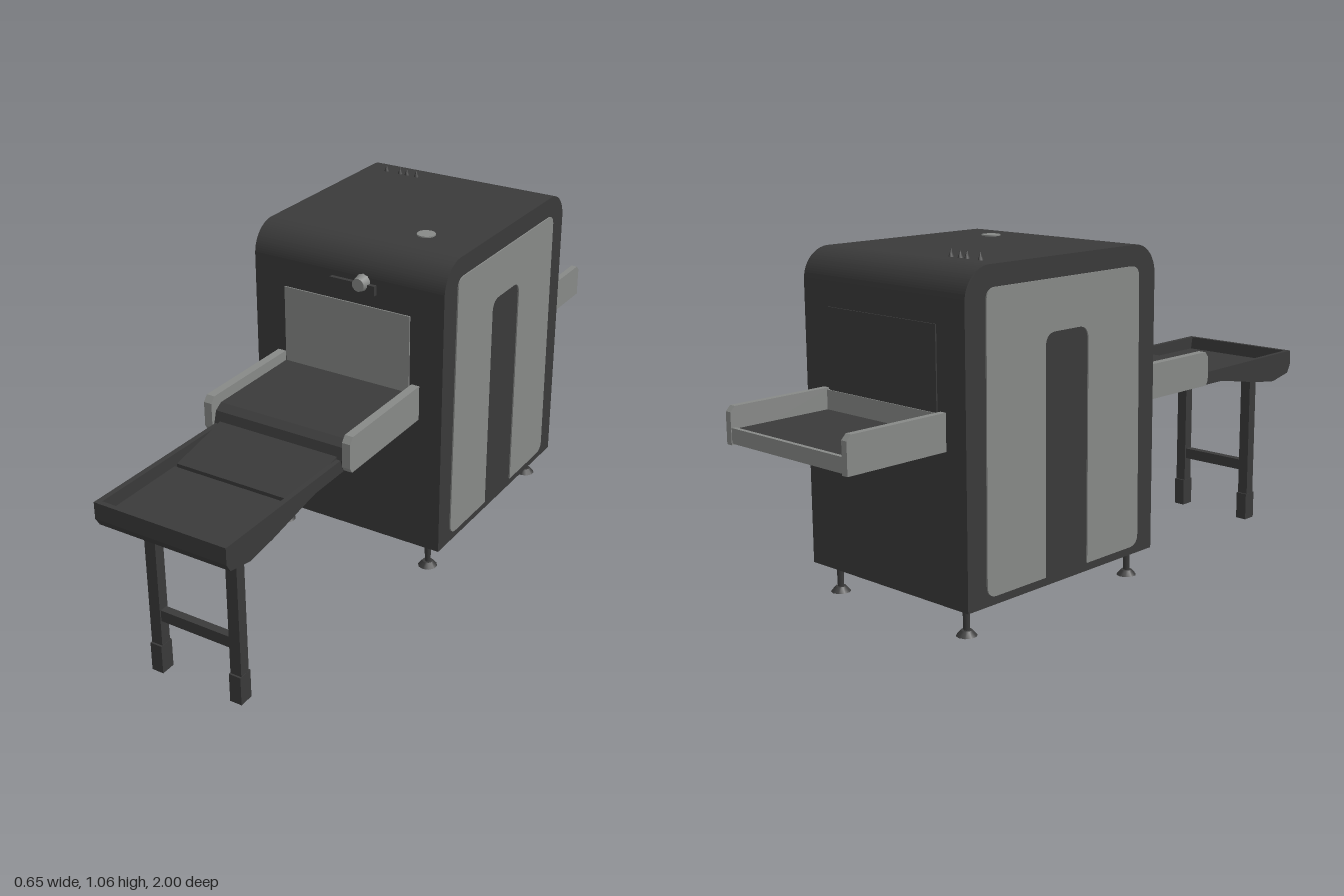
import * as THREE from 'three';

export function createModel() {
  const model = new THREE.Group();
  const mat = (name, color) => {
    const m = new THREE.MeshStandardMaterial({ color });
    m.name = name;
    return m;
  };
  const dark = mat('charcoal', 0x3a3a3a);
  const grey = mat('panelGrey', 0x878987);

  const add = (name, geo, m, x = 0, y = 0, z = 0) => {
    const mesh = new THREE.Mesh(geo, m);
    mesh.name = name;
    mesh.position.set(x, y, z);
    model.add(mesh);
    return mesh;
  };
  // Box given by its limits on each axis
  const box = (name, m, x0, x1, y0, y1, z0, z1) =>
    add(name, new THREE.BoxGeometry(x1 - x0, y1 - y0, z1 - z0), m,
      (x0 + x1) / 2, (y0 + y1) / 2, (z0 + z1) / 2);
  // Side profile in (z, y), extruded across x and centred at x
  const side = (name, m, shape, width, x = 0) => {
    const g = new THREE.ExtrudeGeometry(shape, { depth: width, bevelEnabled: false, curveSegments: 10 });
    g.rotateY(-Math.PI / 2).translate(width / 2, 0, 0);
    return add(name, g, m, x);
  };
  const poly = pts => new THREE.Shape(pts.map(p => new THREE.Vector2(p[0], p[1])));

  // Cabinet with rounded top edges
  const body = new THREE.Shape();
  body.moveTo(-0.665, 0.115);
  body.lineTo(0.105, 0.115);
  body.lineTo(0.105, 0.945);
  body.absarc(0.015, 0.945, 0.09, 0, Math.PI / 2, false);
  body.lineTo(-0.575, 1.035);
  body.absarc(-0.575, 0.945, 0.09, Math.PI / 2, Math.PI, false);
  body.closePath();
  side('cabinet', dark, body, 0.64);

  // Arched side panels with a central slot open at the bottom
  const arch = new THREE.Shape();
  const o = 0.035;
  arch.moveTo(-0.595 + o, 0.14);
  arch.lineTo(-0.365, 0.14);
  arch.lineTo(-0.365, 0.79);
  arch.quadraticCurveTo(-0.365, 0.83, -0.325, 0.83);
  arch.lineTo(-0.23, 0.83);
  arch.quadraticCurveTo(-0.19, 0.83, -0.19, 0.79);
  arch.lineTo(-0.19, 0.14);
  arch.lineTo(0.035 - o, 0.14);
  arch.quadraticCurveTo(0.037, 0.14, 0.037, 0.14 + o);
  arch.lineTo(0.03, 0.975 - o);
  arch.quadraticCurveTo(0.03, 0.975, 0.03 - o, 0.975);
  arch.lineTo(-0.59 + o, 0.975);
  arch.quadraticCurveTo(-0.59, 0.975, -0.59, 0.975 - o);
  arch.lineTo(-0.595, 0.14 + o);
  arch.quadraticCurveTo(-0.595, 0.14, -0.595 + o, 0.14);
  for (const s of [-1, 1]) side('sidePanel', grey, arch, 0.005, s * 0.3215);

  // Tunnel curtains
  box('frontCurtain', grey, -0.215, 0.212, 0.6, 0.865, 0.103, 0.109);
  box('rearCurtain', dark, -0.215, 0.215, 0.62, 0.88, -0.669, -0.663);
  box('rearSill', grey, -0.24, 0.24, 0.585, 0.645, -0.672, -0.664);

  // Front conveyor bed and rails
  side('frontBed', dark, poly([[0.1, 0.51], [0.2, 0.54], [0.465, 0.545],
    [0.475, 0.575], [0.465, 0.61], [0.44, 0.625], [0.1, 0.625]]), 0.43);
  const frontRail = poly([[0.1, 0.545], [0.47, 0.545], [0.48, 0.56], [0.48, 0.635], [0.465, 0.653], [0.1, 0.653]]);
  const rearRail = poly([[-0.66, 0.65], [-0.985, 0.65], [-1, 0.635], [-1, 0.545], [-0.66, 0.545]]);
  for (const s of [-1, 1]) {
    side('frontRail', grey, frontRail, 0.026, s * 0.232);
    side('rearRail', grey, rearRail, 0.02, s * 0.236);
  }

  // Rear conveyor: belt on a grey pan with a low end lip
  box('rearPan', grey, -0.23, 0.23, 0.548, 0.556, -0.995, -0.66);
  box('rearBelt', dark, -0.226, 0.226, 0.556, 0.588, -0.985, -0.66);
  box('rearLip', grey, -0.23, 0.23, 0.55, 0.592, -0.998, -0.985);

  // Outfeed table: tapered sides, end wall, tray floor and ramp
  const apron = poly([[0.46, 0.535], [0.6, 0.535], [0.66, 0.525], [0.8, 0.5],
    [0.9, 0.488], [0.985, 0.505], [1, 0.53], [1, 0.58], [0.46, 0.575]]);
  for (const s of [-1, 1]) side('tableSide', dark, apron, 0.016, s * 0.203);
  side('tableEnd', dark, poly([[0.97, 0.5], [0.985, 0.505], [1, 0.53], [1, 0.58], [0.985, 0.58]]), 0.4);
  box('trayFloor', dark, -0.197, 0.197, 0.525, 0.54, 0.687, 0.985);
  side('tableRamp', dark, poly([[0.46, 0.555], [0.676, 0.53], [0.676, 0.543], [0.46, 0.585]]), 0.395);

  // Table legs with flared shoes and a crossbar
  for (const s of [-1, 1]) {
    box('tableLeg', dark, s * 0.134 - 0.018, s * 0.134 + 0.018, 0.01, 0.53, 0.85, 0.884);
    box('legShoe', dark, s * 0.134 - 0.019, s * 0.134 + 0.019, 0, 0.09, 0.844, 0.89);
  }
  box('crossbar', dark, -0.13, 0.13, 0.17, 0.205, 0.855, 0.88);

  // Levelling feet
  for (const x of [-0.262, 0.262]) for (const z of [0.063, -0.615]) {
    add('footStem', new THREE.CylinderGeometry(0.011, 0.009, 0.085, 8), dark, x, 0.08, z);
    add('footPad', new THREE.CylinderGeometry(0.016, 0.03, 0.016, 10), dark, x, 0.035, z);
  }

  // Front control cluster
  box('controlPlate', dark, -0.05, 0.1, 0.905, 0.935, 0.1, 0.118);
  const knob = add('controlKnob', new THREE.CylinderGeometry(0.02, 0.026, 0.03, 10), grey, 0.055, 0.935, 0.118);
  knob.rotation.x = Math.PI / 2;

  // Small fittings on the roof
  for (const x of [-0.245, -0.195, -0.17, -0.135])
    add('roofStud', new THREE.ConeGeometry(0.009, 0.024, 6), dark, x, 1.045, -0.53);
  add('roofButton', new THREE.CylinderGeometry(0.028, 0.028, 0.006, 16), grey, 0.15, 1.036, -0.09);

  return model;
}
